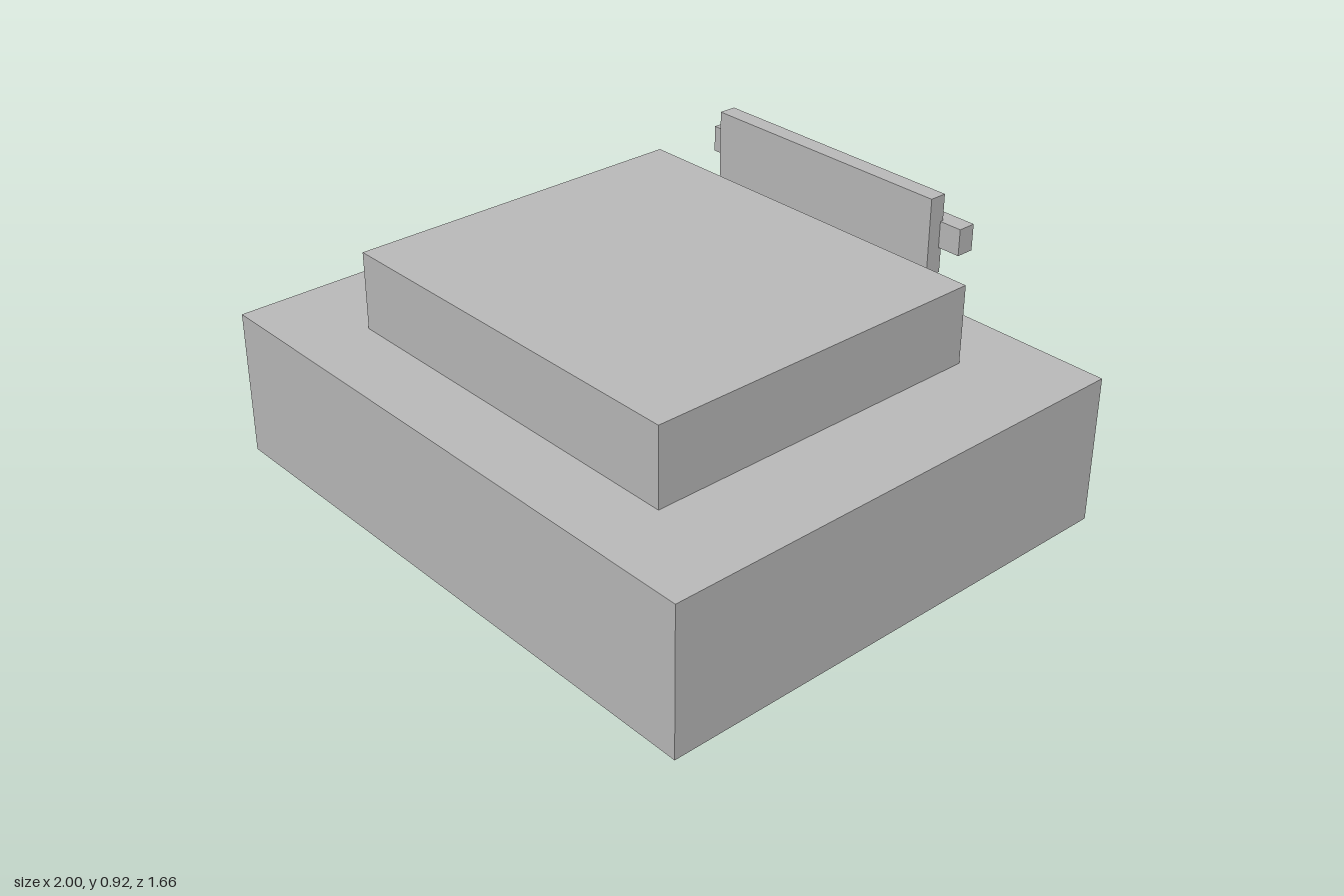
import * as THREE from 'three';

export function createModel() {
  const model = new THREE.Group();
  const grey = new THREE.MeshStandardMaterial({ color: 0xbbbbbb });
  grey.name = 'plain grey';

  // Adds a box given its size and the position of its centre
  function addBox(name, [w, h, d], [x, y, z], parent = model) {
    const mesh = new THREE.Mesh(new THREE.BoxGeometry(w, h, d), grey);
    mesh.name = name;
    mesh.position.set(x, y, z);
    parent.add(mesh);
    return mesh;
  }

  // Two stacked slabs
  addBox('base', [2, 0.486, 1.662], [0, 0.243, 0]);
  addBox('upperBlock', [1.33, 0.257, 1.18], [0, 0.6145, 0]);

  // Upright panel floating behind the upper slab, with four blocks on its back
  const rearPanel = new THREE.Group();
  rearPanel.name = 'rearPanel';
  model.add(rearPanel);
  addBox('panel', [0.905, 0.256, 0.058], [0, 0.791, -0.694], rearPanel);
  for (let i = 0; i < 4; i++) {
    addBox(`rearBlock${i + 1}`, [0.15, 0.086, 0.06], [(i - 1.5) * 0.303, 0.79, -0.742], rearPanel);
  }

  return model;
}
